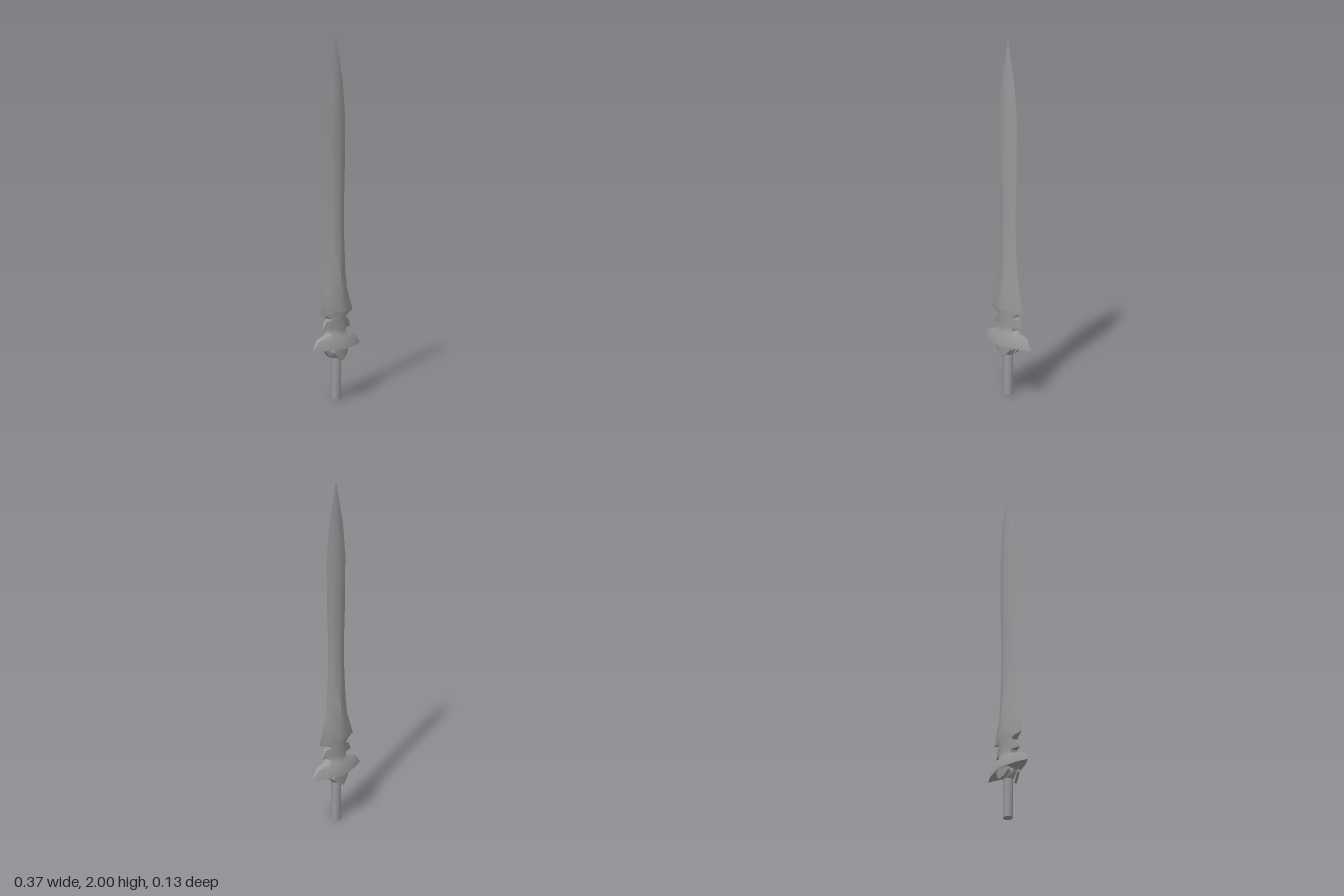
import * as THREE from 'three';
import { toCreasedNormals } from 'three/addons/utils/BufferGeometryUtils.js';

const material = new THREE.MeshStandardMaterial({ color: 0x999999 });

// Rows from tip to guard: [rim x, rim y, rim half thickness, ridge y, ridge half thickness, bulge]
const bladeRows = [
  [0, 2, 0, 2, 0, 0],
  [0.053, 1.74, 0, 1.74, 0.014, 0],
  [0.072, 1.54, 0, 1.54, 0.021, 0],
  [0.068, 1.21, 0, 1.21, 0.024, 0],
  [0.061, 1.04, 0, 1.04, 0.027, 0],
  [0.063, 0.88, 0, 0.88, 0.03, 0],
  [0.074, 0.69, 0, 0.69, 0.036, 0],
  [0.086, 0.6, 0, 0.6, 0.041, 0],
  [0.13, 0.47, 0, 0.49, 0.044, 0],
  // notch below the blade shoulder
  [0.08, 0.46, 0.014, 0.475, 0.044, 0],
  [0.058, 0.445, 0.02, 0.455, 0.043, 0],
  [0.062, 0.435, 0.019, 0.445, 0.042, 0],
  // small side fin
  [0.084, 0.434, 0.01, 0.44, 0.042, 0],
  [0.112, 0.385, 0, 0.395, 0.04, 0],
  [0.055, 0.384, 0.02, 0.39, 0.04, 0],
  [0.055, 0.366, 0.022, 0.372, 0.04, 0],
  // swept guard
  [0.08, 0.352, 0.02, 0.358, 0.043, 0],
  [0.14, 0.336, 0.013, 0.34, 0.048, 0.002],
  [0.186, 0.281, 0, 0.281, 0.064, 0.009],
  [0.05, 0.28, 0.043, 0.28, 0.064, 0],
];

// One closed ring of points: across the front, then back along the rear
function ring([x, y, rimZ, ridgeY, ridgeZ, bulge]) {
  const front = [-1, -0.65, 0, 0.65, 1].map((s) => {
    const t = Math.abs(s);
    const z = THREE.MathUtils.lerp(ridgeZ, rimZ, t) + (t === 0.65 ? bulge : 0);
    return new THREE.Vector3(x * s, THREE.MathUtils.lerp(ridgeY, y, t), z);
  });
  const back = front.map((p) => new THREE.Vector3(p.x, p.y, -p.z)).reverse();
  return [...front, ...back];
}

function loft(rows) {
  const rings = rows.map(ring);
  const n = rings[0].length;
  rings.push(Array.from({ length: n }, () => new THREE.Vector3(0, 0.28, 0)));
  const positions = [];
  const addTriangle = (a, b, c) => {
    if (new THREE.Triangle(a, b, c).getArea() < 1e-8) return;
    for (const p of [a, b, c]) positions.push(p.x, p.y, p.z);
  };
  for (let i = 0; i < rings.length - 1; i++) {
    for (let j = 0; j < n; j++) {
      const k = (j + 1) % n;
      const [a, b, c, d] = [rings[i][j], rings[i + 1][j], rings[i + 1][k], rings[i][k]];
      // mirror the diagonals about the ridge
      if (j % 5 < 2) {
        addTriangle(a, b, c);
        addTriangle(a, c, d);
      } else {
        addTriangle(a, b, d);
        addTriangle(b, c, d);
      }
    }
  }
  const geometry = new THREE.BufferGeometry();
  geometry.setAttribute('position', new THREE.Float32BufferAttribute(positions, 3));
  return toCreasedNormals(geometry, 0.9);
}

export function createModel() {
  const group = new THREE.Group();
  const add = (name, geometry) => {
    const mesh = new THREE.Mesh(geometry, material);
    mesh.name = name;
    group.add(mesh);
    return mesh;
  };

  add('bladeAndGuard', loft(bladeRows));

  // Grip: plain faceted rod, slightly flattened
  const grip = new THREE.CylinderGeometry(0.03, 0.03, 0.27, 8);
  grip.scale(1, 1, 0.87).translate(0, 0.135, 0);
  add('grip', toCreasedNormals(grip, 0.9));

  // Collar tapering from the guard to the grip
  const collar = new THREE.LatheGeometry(
    [[0.028, 0.224], [0.033, 0.228], [0.05, 0.258], [0.048, 0.285]].map(([x, y]) => new THREE.Vector2(x, y)), 8);
  collar.scale(1, 1, 0.8);
  add('collar', toCreasedNormals(collar, 0.9));

  // Pointed prongs continuing the front and back ridges below the guard
  const outline = new THREE.Shape([
    [-0.05, 0.283], [-0.055, 0.262], [-0.03, 0.235], [0, 0.219],
    [0.03, 0.235], [0.055, 0.262], [0.05, 0.283], [0, 0.283],
  ].map(([x, y]) => new THREE.Vector2(x, y)));
  const prong = new THREE.ExtrudeGeometry(outline, { depth: 0.016, bevelEnabled: false });
  const p = prong.attributes.position;
  for (let i = 0; i < p.count; i++) {
    // fold the plate along its ridge and lean its tip inward
    p.setZ(i, p.getZ(i) + 0.048 - Math.abs(p.getX(i)) * 0.42 - (0.283 - p.getY(i)) * 0.12);
  }
  const prongGeometry = toCreasedNormals(prong, 0.9);
  for (const turn of [0, Math.PI]) {
    add(turn ? 'backProng' : 'frontProng', prongGeometry).rotation.y = turn;
  }

  return group;
}
